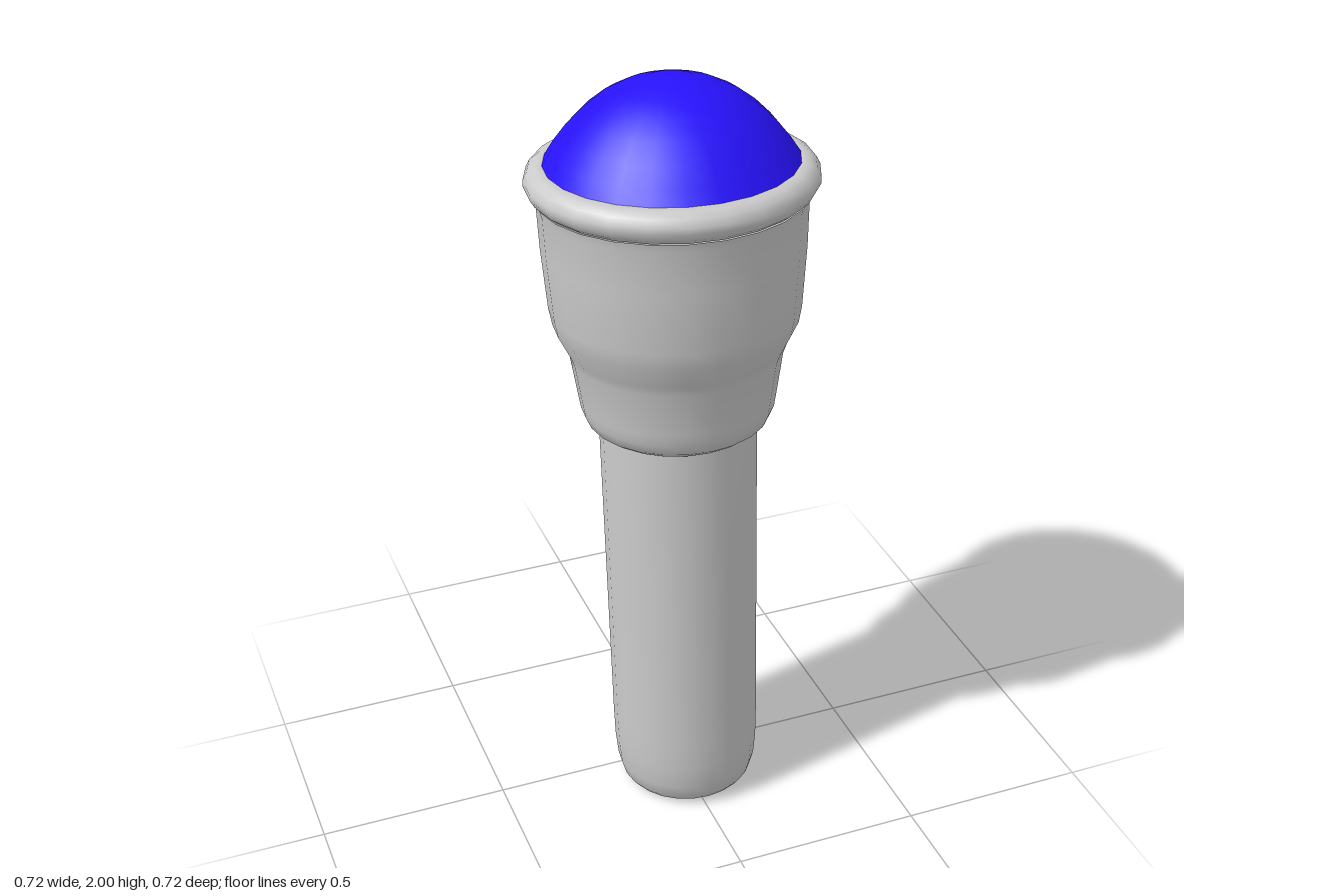
import * as THREE from 'three';
import { toCreasedNormals } from 'three/addons/utils/BufferGeometryUtils.js';

const SIDES = 24;

// Turned part from [radius, height] pairs, listed bottom to top
function turned(name, profile, color) {
  const points = profile.map(([r, y]) => new THREE.Vector2(r, y));
  const geometry = toCreasedNormals(new THREE.LatheGeometry(points, SIDES), 0.6);
  const mesh = new THREE.Mesh(geometry, new THREE.MeshStandardMaterial({ color, side: THREE.DoubleSide }));
  mesh.name = name;
  return mesh;
}

export function createModel() {
  const model = new THREE.Group();
  model.name = 'domedHandle';

  // Everything shares one slightly leaning axis
  const body = new THREE.Group();
  body.name = 'leaningBody';
  body.position.set(0.012, 0.008, 0.078);
  body.rotation.set(-0.045, 0, 0.007);
  model.add(body);

  // Straight grip with a rounded lower edge and flat end
  body.add(turned('grip', [
    [0, 0], [0.165, 0], [0.177, 0.015], [0.188, 0.055],
    [0.194, 0.12], [0.196, 0.2], [0.202, 1.08], [0.202, 1.12],
  ], 0xcccccc));

  // Stepped cup flaring out to a rolled rim
  body.add(turned('cup', [
    [0.19, 1.1], [0.212, 1.095], [0.232, 1.11], [0.245, 1.14], [0.25, 1.17],
    [0.268, 1.29], [0.277, 1.315], [0.306, 1.375], [0.314, 1.42],
    [0.326, 1.58], [0.33, 1.69], [0.335, 1.71],
  ], 0xcccccc));
  body.add(turned('rim', [
    [0.33, 1.71], [0.347, 1.723], [0.358, 1.742], [0.358, 1.757],
    [0.348, 1.776], [0.332, 1.787], [0.312, 1.791], [0.295, 1.785],
  ], 0xcccccc));

  // Coloured dome seated inside the rim
  body.add(turned('dome', [
    [0.314, 1.785], [0.287, 1.827], [0.255, 1.868], [0.215, 1.909],
    [0.17, 1.944], [0.12, 1.97], [0.065, 1.987], [0, 1.993],
  ], 0x2812ff));

  return model;
}
